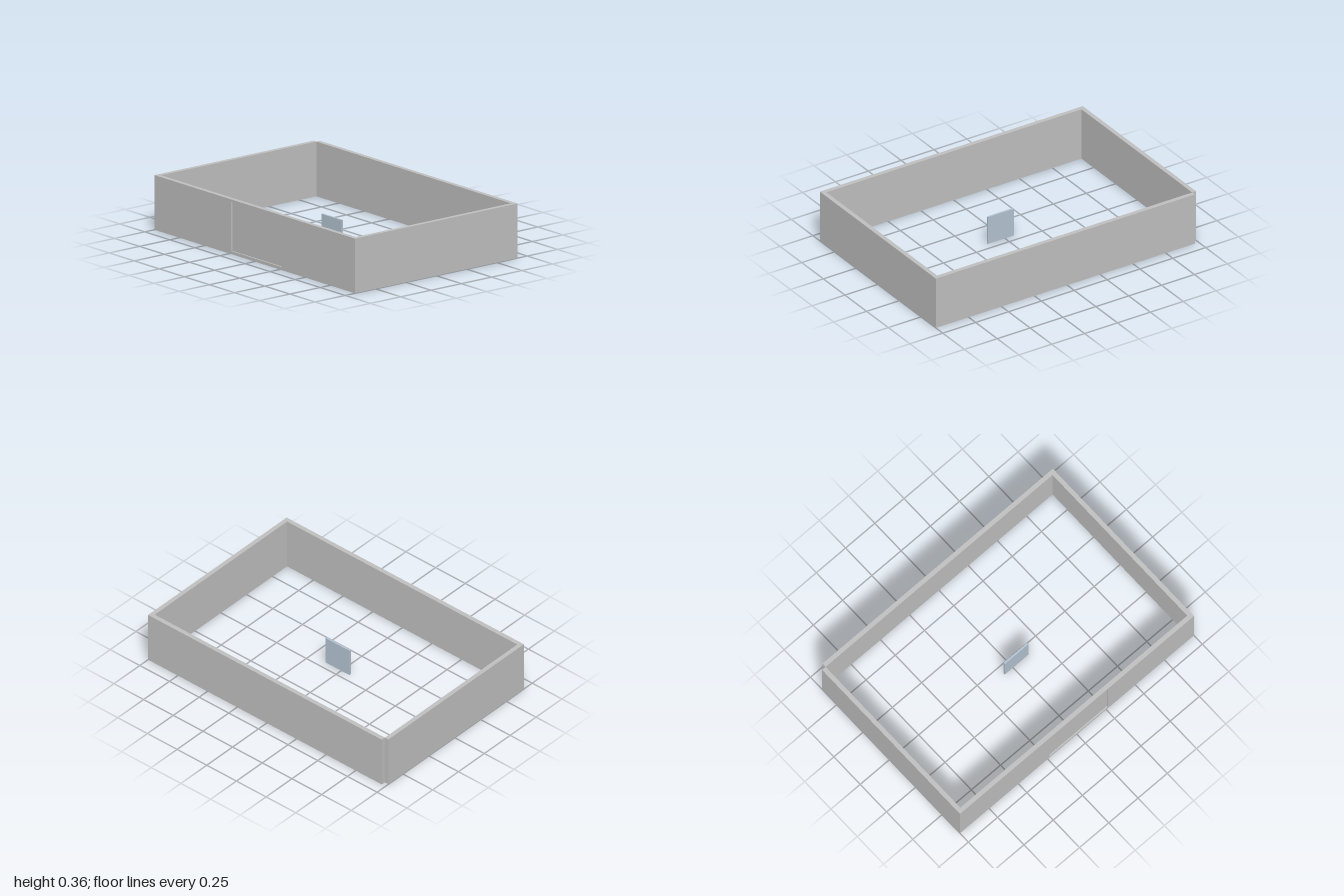
import * as THREE from 'three';

const H = 0.36, T = 0.03, X = 1, Z = 0.67, RECESS = 0.01;

export function createModel() {
  const model = new THREE.Group();
  model.name = 'walledEnclosure';
  const wallGrey = new THREE.MeshStandardMaterial({ color: 0xc0c0c0 });
  wallGrey.name = 'wallGrey';
  const paneBlue = new THREE.MeshStandardMaterial({ color: 0xb4c4d2 });
  paneBlue.name = 'paneBlue';

  // Box given by its minimum and maximum corners
  const box = (name, material, [x0, y0, z0], [x1, y1, z1]) => {
    const mesh = new THREE.Mesh(new THREE.BoxGeometry(x1 - x0, y1 - y0, z1 - z0), material);
    mesh.position.set((x0 + x1) / 2, (y0 + y1) / 2, (z0 + z1) / 2);
    mesh.name = name;
    model.add(mesh);
  };

  // Back and side walls; the back right corner is left notched
  box('backWall', wallGrey, [-X + T, 0, -Z], [X, H, -Z + T]);
  box('leftWall', wallGrey, [X - T, 0, -Z + T], [X, H, Z - T]);
  box('rightWall', wallGrey, [-X, 0, -Z + T], [-X + T, H, Z - T]);

  // Front wall: solid core with a thin facing cut out around the door panel
  box('frontWall', wallGrey, [-X, 0, Z - T], [X, H, Z - RECESS]);
  const facing = new THREE.Shape([[-X, 0], [X, 0], [X, H], [-X, H]].map(p => new THREE.Vector2(...p)));
  facing.holes.push(new THREE.Path(
    [[-0.235, 0.02], [-0.235, 0.345], [0.265, 0.345], [0.265, 0.02]].map(p => new THREE.Vector2(...p))));
  const frontFacing = new THREE.Mesh(
    new THREE.ExtrudeGeometry(facing, { depth: RECESS, bevelEnabled: false }), wallGrey);
  frontFacing.position.z = Z - RECESS;
  frontFacing.name = 'frontDoorSurround';
  model.add(frontFacing);

  // Free-standing pane inside the enclosure
  box('standingPane', paneBlue, [-0.07, 0, 0.05], [0.13, 0.195, 0.063]);

  return model;
}
